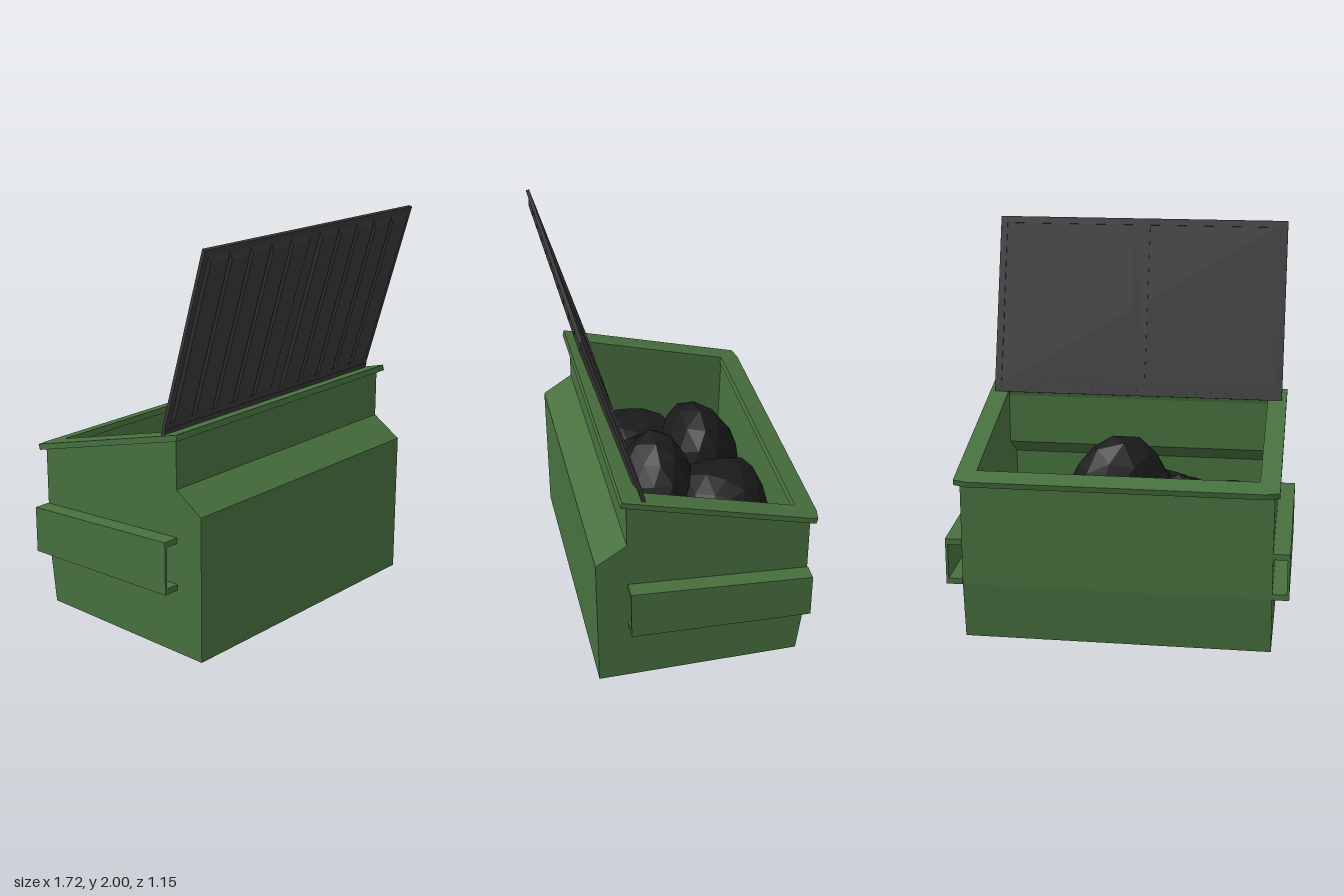
import * as THREE from 'three';

const mat = (color) => new THREE.MeshStandardMaterial({ color });
const green = mat(0x47703e);
const lidGrey = mat(0x383838);
const bagBlack = mat(0x1a1a1a);
bagBlack.flatShading = true;

const polygon = (points) => new THREE.Shape(points.map(([x, y]) => new THREE.Vector2(x, y)));

function addMesh(parent, name, geometry, material) {
  const mesh = new THREE.Mesh(geometry, material);
  mesh.name = name;
  parent.add(mesh);
  return mesh;
}

// Extrudes a (z, y) side profile across x from x0 to x1
function sideExtrude(points, x0, x1) {
  const g = new THREE.ExtrudeGeometry(polygon(points), { depth: x1 - x0, bevelEnabled: false });
  return g.rotateY(-Math.PI / 2).translate(x1, 0, 0);
}

// Box whose +z face is inset, giving a raised pad with bevelled edges
function padGeometry(w, h, d, insetX, insetY) {
  const g = new THREE.BoxGeometry(w, h, d);
  const p = g.attributes.position;
  for (let i = 0; i < p.count; i++) {
    if (p.getZ(i) > 0) {
      p.setX(i, p.getX(i) - Math.sign(p.getX(i)) * insetX);
      p.setY(i, p.getY(i) - Math.sign(p.getY(i)) * insetY);
    }
  }
  g.computeVertexNormals();
  return g.translate(0, 0, d / 2);
}

// Lumpy, faceted sack kept within the container walls
function bagGeometry([cx, cy, cz], [rx, ry, rz], seed) {
  const g = new THREE.IcosahedronGeometry(1, 2);
  const p = g.attributes.position;
  const v = new THREE.Vector3();
  for (let i = 0; i < p.count; i++) {
    v.fromBufferAttribute(p, i);
    const k = 1 + 0.07 * Math.sin(3.1 * v.x + seed) + 0.06 * Math.sin(4.3 * v.z + 2 * seed)
      + 0.05 * Math.sin(5.2 * v.y + 3 * v.x + seed * 3);
    p.setXYZ(i,
      THREE.MathUtils.clamp(cx + v.x * rx * k, -0.695, 0.695),
      Math.max(cy + v.y * ry * k, 0.06),
      THREE.MathUtils.clamp(cz + v.z * rz * k, -0.455, 0.45));
  }
  g.computeVertexNormals();
  return g;
}

function buildBody() {
  const body = new THREE.Group();
  body.name = 'body';
  const outer = [[-0.495, 0], [0.54, 0], [0.54, 0.74], [0.385, 0.84], [0.385, 1.09], [-0.53, 0.84], [-0.53, 0.295]];
  // Floor, front and back walls as one channel, closed by two end walls
  const channel = [[-0.495, 0], [0.54, 0], [0.54, 0.74], [0.385, 0.84], [0.385, 1.09], [0.31, 1.07],
    [0.31, 0.8], [0.47, 0.7], [0.47, 0.05], [-0.43, 0.05], [-0.455, 0.295], [-0.47, 0.855], [-0.53, 0.84], [-0.53, 0.295]];
  addMesh(body, 'floorAndWalls', sideExtrude(channel, -0.7, 0.7), green);
  addMesh(body, 'leftWall', sideExtrude(outer, 0.7, 0.775), green);
  addMesh(body, 'rightWall', sideExtrude(outer, -0.775, -0.7), green);

  // Sloping rim around the opening
  const rim = polygon([[-0.8, 0], [0.8, 0], [0.8, 1.005], [0.73, 1.02], [-0.73, 1.02], [-0.8, 1.005]]);
  rim.holes.push(polygon([[-0.7, 0.11], [-0.7, 0.912], [0.7, 0.912], [0.7, 0.11]]));
  const g = new THREE.ExtrudeGeometry(rim, { depth: 0.03, bevelEnabled: false });
  g.translate(0, 0, -0.03).rotateX(-Math.PI / 2 - 0.268).translate(0, 1.12, 0.408);
  addMesh(body, 'rim', g, green);
  return body;
}

// Open-ended fork pockets, tapering slightly towards the back
function buildForkPockets() {
  const pockets = new THREE.Group();
  pockets.name = 'forkPockets';
  const F = 0.385, B = -0.535;
  const plates = [
    ['pocketTop', [[B, 0.505], [F, 0.57], [F, 0.6], [B, 0.535]], 0.775, 0.845],
    ['pocketBottom', [[B, 0.295], [F, 0.33], [F, 0.36], [B, 0.325]], 0.775, 0.845],
    ['pocketSide', [[B, 0.295], [F, 0.33], [F, 0.6], [B, 0.535]], 0.845, 0.858],
  ];
  for (const [name, profile, a, b] of plates) {
    addMesh(pockets, name + 'Left', sideExtrude(profile, a, b), green);
    addMesh(pockets, name + 'Right', sideExtrude(profile, -b, -a), green);
  }
  return pockets;
}

function buildLid() {
  const lid = new THREE.Group();
  lid.name = 'lid';
  const H = 0.925, W = 0.775;
  addMesh(lid, 'lidPlate', new THREE.BoxGeometry(2 * W, H, 0.012).translate(0, H / 2, 0), lidGrey);

  // Raised border on the underside leaves two shallow panels
  const frame = polygon([[-W, 0], [W, 0], [W, H], [-W, H]]);
  for (const [a, b] of [[-0.74, -0.04], [0.04, 0.74]]) {
    frame.holes.push(polygon([[a, 0.035], [a, H - 0.035], [b, H - 0.035], [b, 0.035]]));
  }
  const border = new THREE.ExtrudeGeometry(frame, { depth: 0.006, bevelEnabled: false });
  addMesh(lid, 'lidBorder', border.translate(0, 0, -0.012), lidGrey);

  // Five bevelled ribs on each half of the outside
  for (const side of [-1, 1]) {
    for (let i = 0; i < 5; i++) {
      const rib = addMesh(lid, 'lidRib', padGeometry(0.141, H - 0.07, 0.014, 0.012, 0.03), lidGrey);
      rib.position.set(side * (0.108 + i * 0.142), H / 2, 0.006);
    }
  }
  addMesh(lid, 'hingeStrip', new THREE.BoxGeometry(2 * W, 0.04, 0.02).translate(0, -0.008, 0), lidGrey);
  lid.position.set(0, 1.11, 0.305);
  lid.rotation.x = 0.289;
  return lid;
}

function buildBags() {
  const bags = new THREE.Group();
  bags.name = 'rubbishBags';
  const list = [
    [[-0.36, 0.47, -0.24], [0.34, 0.31, 0.24]],
    [[0.22, 0.47, -0.24], [0.34, 0.32, 0.25]],
    [[0.56, 0.42, -0.1], [0.2, 0.31, 0.27]],
    [[-0.54, 0.4, 0.08], [0.25, 0.3, 0.25]],
    [[0.03, 0.54, 0.09], [0.31, 0.34, 0.23]],
    [[0.5, 0.3, 0.2], [0.22, 0.28, 0.2]],
    [[-0.15, 0.4, 0.12], [0.25, 0.36, 0.24]],
  ];
  list.forEach(([c, r], i) => addMesh(bags, 'bag', bagGeometry(c, r, i * 1.7 + 0.6), bagBlack));
  return bags;
}

export function createModel() {
  const model = new THREE.Group();
  model.name = 'dumpster';
  model.add(buildBody(), buildForkPockets(), buildLid(), buildBags());
  return model;
}
